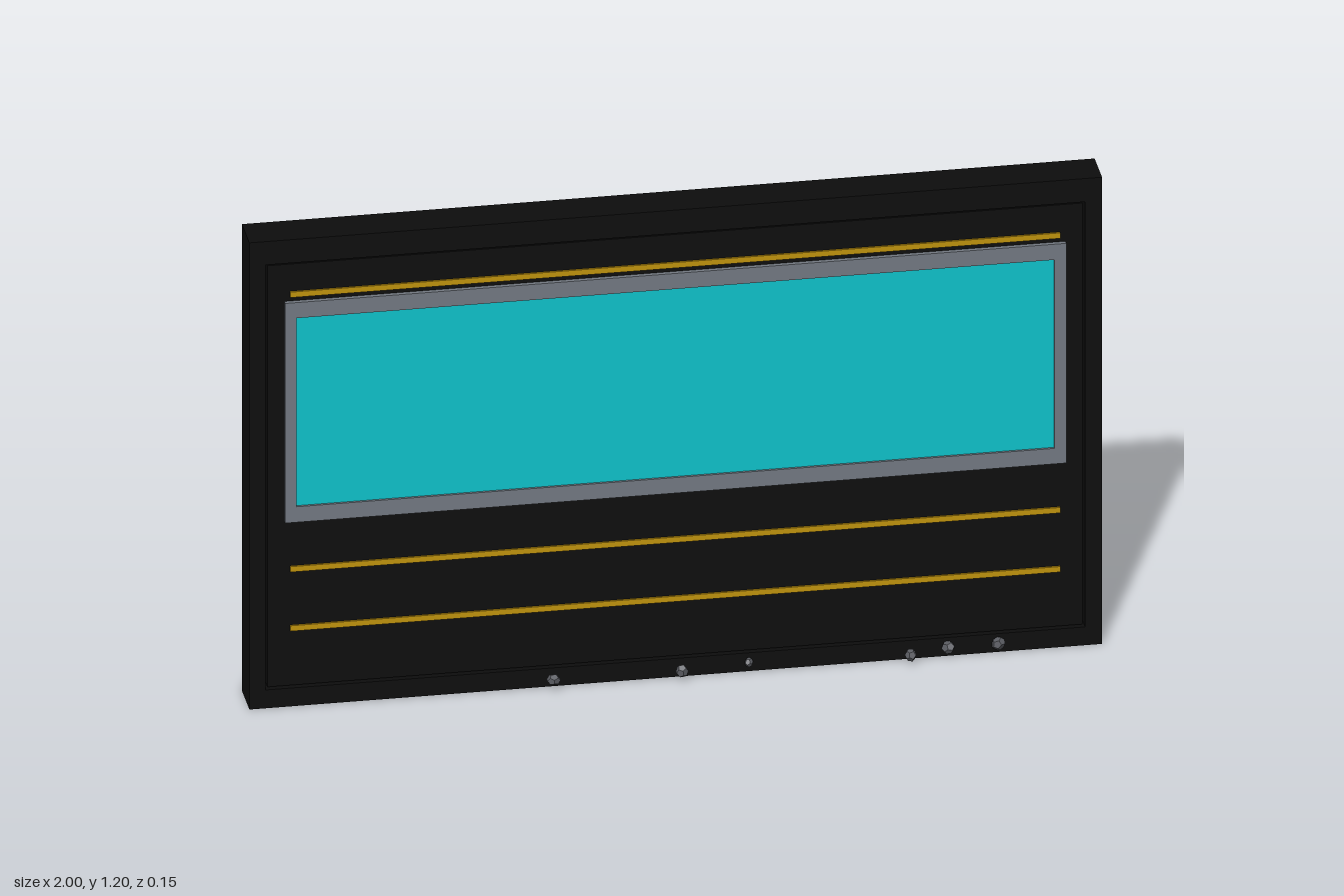
import * as THREE from 'three';

export function createModel() {
  const model = new THREE.Group();
  const mat = (name, color) => {
    const m = new THREE.MeshStandardMaterial({ color });
    m.name = name;
    return m;
  };
  const black = mat('black', 0x0d0d0d);
  const grey = mat('trim grey', 0x737982);
  const cyan = mat('glass cyan', 0x0ec2cb);
  const gold = mat('gold', 0xc0930c);
  const stone = mat('stone grey', 0x5a5c62);
  stone.flatShading = true;

  const add = (name, geometry, material, x = 0, y = 0, z = 0) => {
    const mesh = new THREE.Mesh(geometry, material);
    mesh.name = name;
    mesh.position.set(x, y, z);
    model.add(mesh);
    return mesh;
  };

  // Rectangular ring from [x0, y0, x1, y1] bounds, extruded from z0 to z1
  const ring = (name, outer, inner, z0, z1, material) => {
    const trace = (path, [x0, y0, x1, y1]) =>
      path.moveTo(x0, y0).lineTo(x1, y0).lineTo(x1, y1).lineTo(x0, y1).closePath();
    const shape = trace(new THREE.Shape(), outer);
    shape.holes.push(trace(new THREE.Path(), inner));
    const geometry = new THREE.ExtrudeGeometry(shape, { depth: z1 - z0, bevelEnabled: false });
    add(name, geometry, material, 0, 0, z0);
  };

  // Outer wall frame and the panel set inside it with a hairline gap
  ring('outerFrame', [-1, 0, 1, 1.2], [-0.962, 0.047, 0.96, 1.14], -0.075, 0.025, black);
  add('panel', new THREE.BoxGeometry(1.912, 1.083, 0.07), black, -0.001, 0.5935, -0.015);

  // Window with its raised trim
  ring('windowTrim', [-0.917, 0.475, 0.915, 1.04], [-0.89, 0.515, 0.887, 1.0], 0.015, 0.031, grey);
  add('windowGlass', new THREE.BoxGeometry(1.777, 0.485, 0.008), cyan, -0.0015, 0.7575, 0.021);

  // Gold stripes
  for (const y of [0.2, 0.352, 1.058]) {
    add('goldStripe', new THREE.BoxGeometry(1.806, 0.014, 0.006), gold, -0.001, y, 0.022);
  }

  // Small stones along the foot: x, z, radius
  const stones = [
    [-0.29, 0.046, 0.015], [0.01, 0.053, 0.015], [0.17, 0.034, 0.011],
    [0.545, 0.061, 0.014], [0.637, 0.036, 0.016], [0.755, 0.036, 0.016],
  ];
  stones.forEach(([x, z, r], i) => {
    const pebble = add('stone', new THREE.DodecahedronGeometry(r), stone, x, 0.027, z);
    pebble.rotation.set(i, i * 1.7, i * 0.6);
    pebble.scale.set(1.1, 0.9, 1);
  });

  return model;
}
